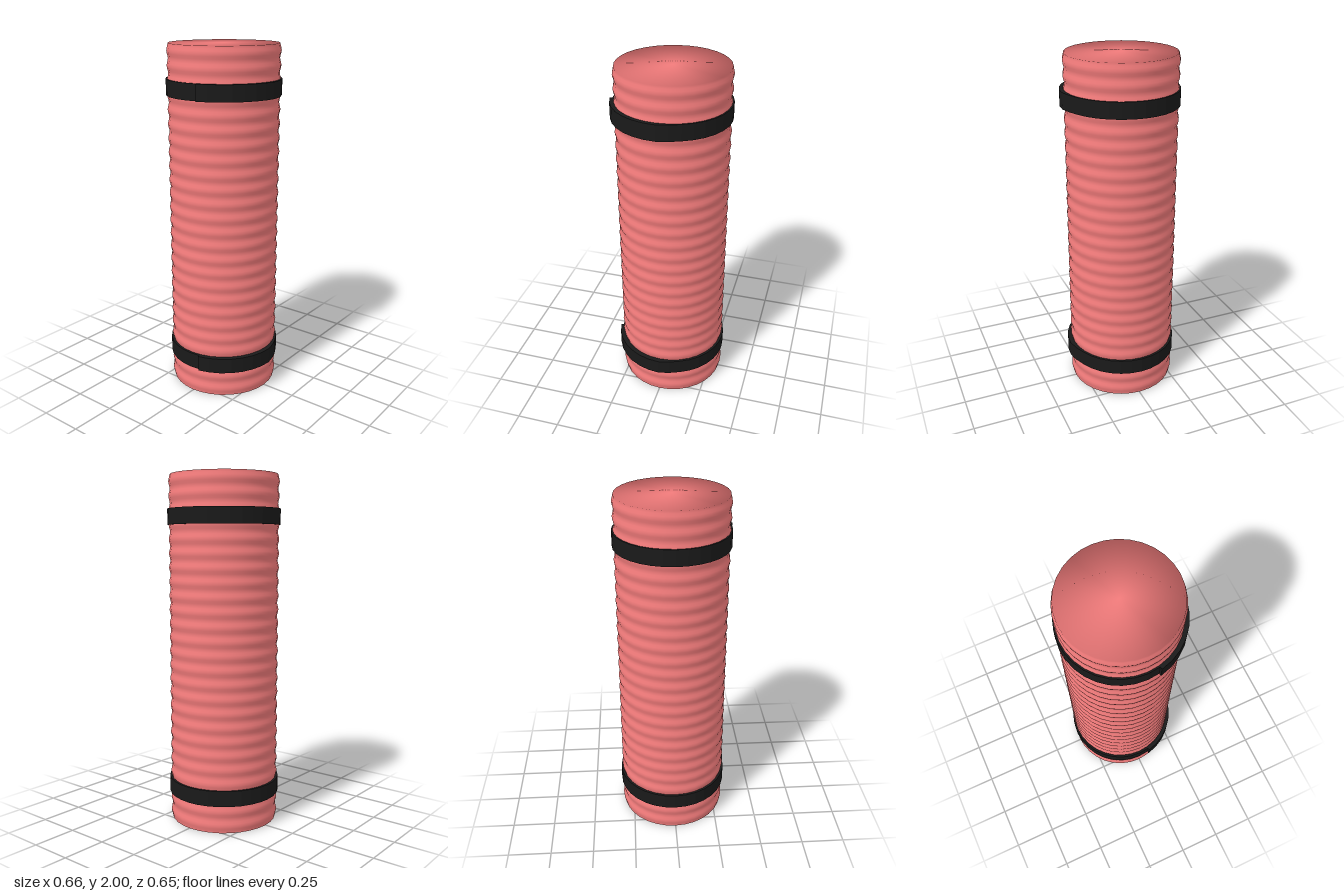
import * as THREE from 'three';

const SIDES = 32, RIDGES = 25, STEPS = 6, HEIGHT = 2;
const CENTER_X = -0.007, CENTER_Z = -0.003;

// Ribbed roll: one closed profile with a cosine ripple, turned around y
function rollGeometry() {
  const points = [new THREE.Vector2(0, 0)];
  const n = RIDGES * STEPS;
  for (let i = 0; i <= n; i++) {
    const ripple = 0.004 * Math.cos((i / STEPS) * Math.PI * 2);
    points.push(new THREE.Vector2(0.311 - ripple, (HEIGHT * i) / n));
  }
  points.push(new THREE.Vector2(0, HEIGHT));
  const geometry = new THREE.LatheGeometry(points, SIDES);

  // Soft ends: the rims share the side's outward normals
  const { position, normal } = geometry.attributes;
  for (let i = 0; i < position.count; i++) {
    const x = position.getX(i), y = position.getY(i), z = position.getZ(i);
    const r = Math.hypot(x, z);
    if (r > 0.1 && (y < 0.001 || y > HEIGHT - 0.001)) normal.setXYZ(i, x / r, 0, z / r);
  }
  return geometry;
}

// Strap: a thin ring whose loose end overlaps at the front left
function strapGeometry(width) {
  const shape = new THREE.Shape();
  const step = (Math.PI * 2) / SIDES;
  for (let i = 0; i <= SIDES; i++) {
    const a = (i - 7) * step;
    const r = i <= 7 ? 0.336 : i === 8 ? 0.328 : 0.322;
    const x = r * Math.cos(a), y = r * Math.sin(a);
    if (i === 0) shape.moveTo(x, y);
    else shape.lineTo(x, y);
  }
  shape.closePath();

  const hole = [];
  for (let i = 0; i < SIDES; i++) {
    hole.push(new THREE.Vector2(0.306 * Math.cos(-i * step), 0.306 * Math.sin(-i * step)));
  }
  shape.holes.push(new THREE.Path(hole));
  return new THREE.ExtrudeGeometry(shape, { depth: width, bevelEnabled: false }).rotateX(-Math.PI / 2);
}

export function createModel() {
  const group = new THREE.Group();
  group.name = 'rolledMat';

  const add = (name, geometry, color, y) => {
    const mesh = new THREE.Mesh(geometry, new THREE.MeshStandardMaterial({ color }));
    mesh.name = name;
    mesh.position.set(CENTER_X, y, CENTER_Z);
    group.add(mesh);
  };

  add('ribbedRoll', rollGeometry(), 0xf47c7c, 0);
  const strap = strapGeometry(0.09);
  add('lowerStrap', strap, 0x1a1a1a, 0.16);
  add('upperStrap', strap, 0x1a1a1a, 1.72);
  return group;
}
